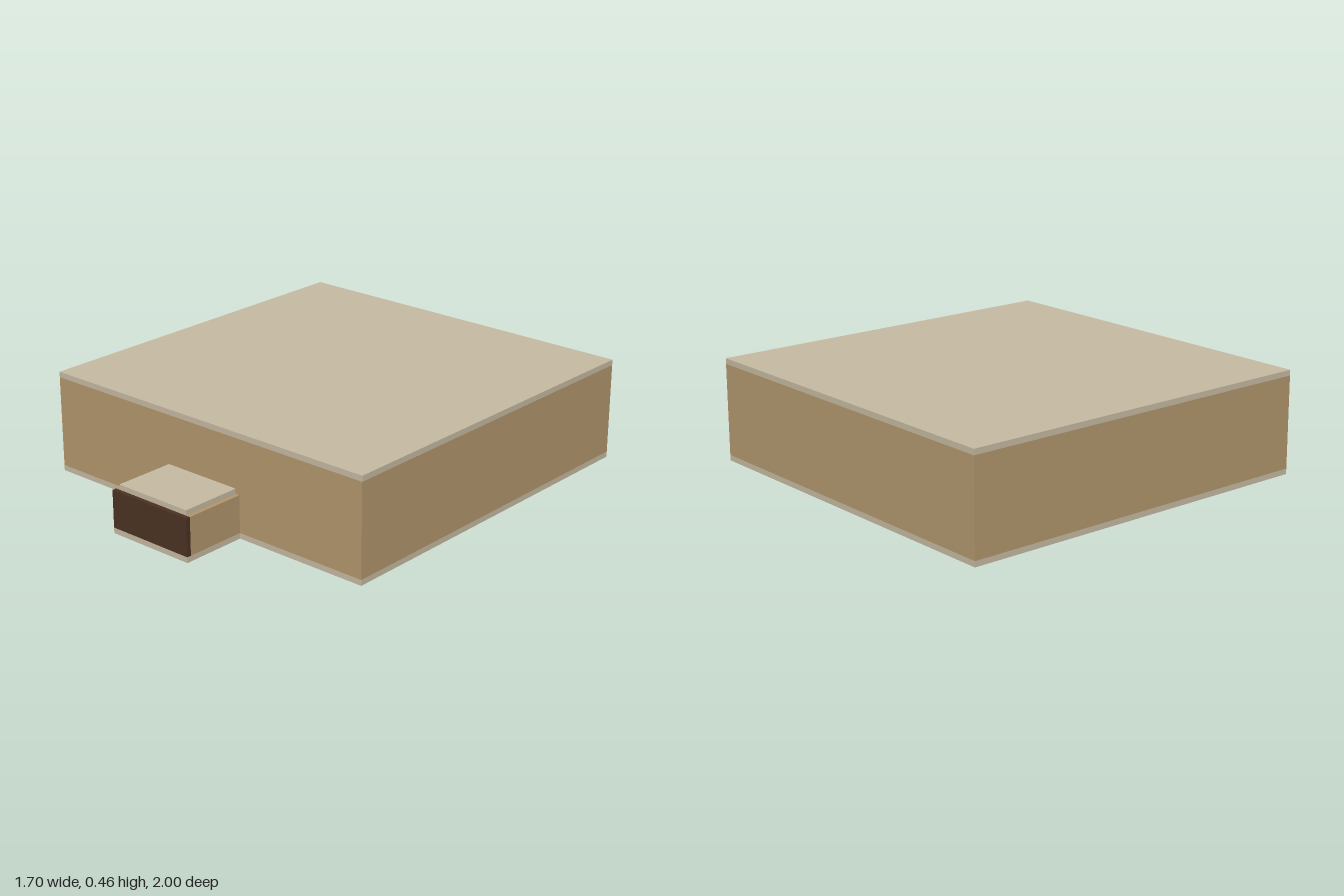
import * as THREE from 'three';

export function createModel() {
  const group = new THREE.Group();
  const material = (name, color) => {
    const m = new THREE.MeshStandardMaterial({ color });
    m.name = name;
    return m;
  };
  const wall = material('tan wall', 0xb0956c);
  const slab = material('pale stone', 0xc4b8a0);
  const door = material('dark brown', 0x4a3222);

  // Box centred on x, given its half width and its y and z ranges
  const block = (name, mat, halfWidth, y0, y1, z0, z1) => {
    const mesh = new THREE.Mesh(new THREE.BoxGeometry(halfWidth * 2, y1 - y0, z1 - z0), mat);
    mesh.position.set(0, (y0 + y1) / 2, (z0 + z1) / 2);
    mesh.name = name;
    group.add(mesh);
  };

  // Main building: floor slab, walls, flat roof
  block('mainFloor', slab, 0.85, 0, 0.025, -1, 0.7);
  block('mainWalls', wall, 0.85, 0.025, 0.435, -1, 0.7);
  block('mainRoof', slab, 0.85, 0.435, 0.46, -1, 0.7);

  // Entrance porch with inset roof and a full-width door
  block('porchFloor', slab, 0.21, 0, 0.025, 0.7, 1);
  block('porchWalls', wall, 0.21, 0.025, 0.192, 0.7, 0.98);
  block('porchRoof', slab, 0.19, 0.192, 0.215, 0.7, 0.98);
  block('frontDoor', door, 0.21, 0.025, 0.192, 0.98, 1);

  return group;
}
